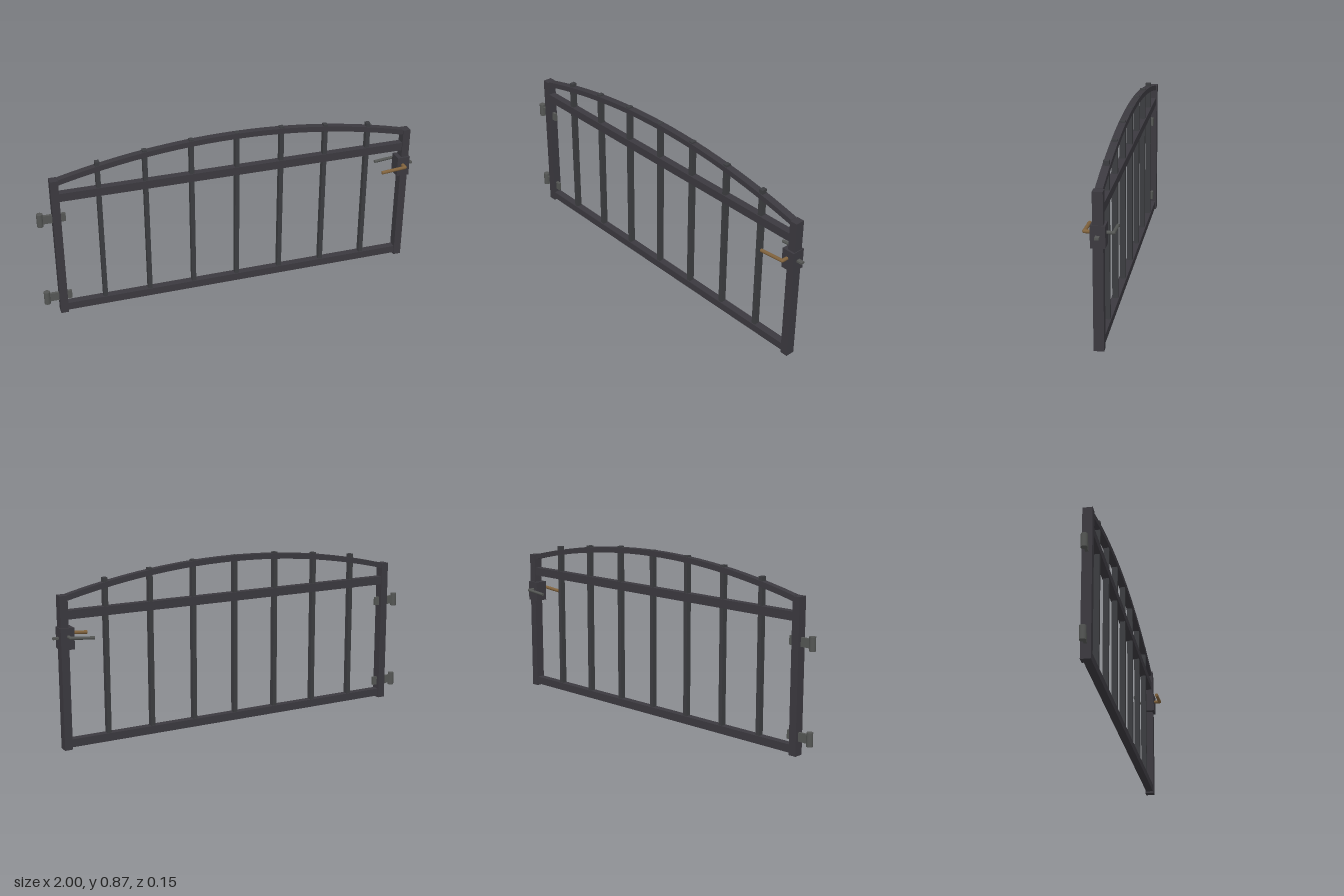
import * as THREE from 'three';

const mat = (name, color, extra = {}) => {
  const m = new THREE.MeshStandardMaterial({ color, ...extra });
  m.name = name;
  return m;
};

export function createModel() {
  const iron = mat('dark iron', 0x3b393f);
  const barIron = mat('bar iron', 0x3c3d40);
  const steel = mat('hinge steel', 0x545654);
  const bronze = mat('bronze', 0x80623c);

  const gate = new THREE.Group();
  gate.name = 'gate';
  const MID = 0.022; // centre of the gate leaf
  const HALF = 0.925; // post centre to gate centre

  const add = (name, geometry, material, x = 0, y = 0, z = 0, parent = gate) => {
    const mesh = new THREE.Mesh(geometry, material);
    mesh.name = name;
    mesh.position.set(x, y, z);
    parent.add(mesh);
    return mesh;
  };
  // Box given by its x and y limits and its depth, centred on z = 0
  const box = (name, x0, x1, y0, y1, depth, material, parent = gate) =>
    add(name, new THREE.BoxGeometry(x1 - x0, y1 - y0, depth), material,
      (x0 + x1) / 2, (y0 + y1) / 2, 0, parent);

  // Frame posts and rails
  for (const [name, s] of [['rightPost', -1], ['leftPost', 1]]) {
    const x = MID + s * HALF;
    box(name, x - 0.02, x + 0.02, 0, 0.757, 0.048, iron);
  }
  const inner = HALF - 0.02;
  box('bottomRail', MID - inner, MID + inner, 0.01, 0.05, 0.038, iron);
  box('upperRail', MID - inner, MID + inner, 0.641, 0.684, 0.038, iron);

  // Arched top rail
  const archY = (x) => 0.745 + 0.113 * (1 - (x / inner) ** 2);
  const upper = [], lower = [];
  for (let i = 0; i <= 24; i++) {
    const x = -inner + (2 * inner * i) / 24;
    upper.push(new THREE.Vector2(x, archY(x) + 0.014));
    lower.unshift(new THREE.Vector2(x, archY(x) - 0.014));
  }
  const arch = new THREE.ExtrudeGeometry(new THREE.Shape([...lower, ...upper]),
    { depth: 0.036, bevelEnabled: false });
  add('archRail', arch, iron, MID, 0, -0.018);

  // Vertical bars, their tips standing above the arch
  const tips = [0.874, 0.871, 0.85, 0.823];
  for (let i = -3; i <= 3; i++) {
    const x = MID + i * 0.236;
    box('bar', x - 0.011, x + 0.011, 0.03, tips[Math.abs(i)], 0.028, barIron);
  }

  // Hinges: a strap through the post and a round knuckle outside it
  for (const y of [0.093, 0.546]) {
    const hinge = new THREE.Group();
    hinge.name = 'hinge';
    gate.add(hinge);
    box('strap', -0.984, -0.857, y - 0.022, y + 0.022, 0.014, steel, hinge);
    add('knuckle', new THREE.CylinderGeometry(0.016, 0.016, 0.068, 16), steel, -0.984, y, 0, hinge);
  }

  // Lock case and latch bolt
  box('lockCase', 0.903, 0.971, 0.498, 0.603, 0.068, iron);
  box('latch', 0.96, 1.0, 0.548, 0.558, 0.02, steel);

  // Lever handles: spindle, rounded elbow, lever
  const rod = (name, a, b, r, material, parent) => {
    const dir = b.clone().sub(a);
    const mid = a.clone().add(b).multiplyScalar(0.5);
    const mesh = add(name, new THREE.CylinderGeometry(r, r, dir.length(), 12), material, mid.x, mid.y, mid.z, parent);
    mesh.quaternion.setFromUnitVectors(new THREE.Vector3(0, 1, 0), dir.normalize());
  };
  const handle = (name, side, endX, r, material) => {
    const group = new THREE.Group();
    group.name = name;
    gate.add(group);
    const elbow = new THREE.Vector3(0.933, 0.561, side * 0.065);
    rod('spindle', new THREE.Vector3(0.933, 0.561, side * 0.03), elbow, r, material, group);
    add('elbow', new THREE.SphereGeometry(r, 12, 8), material, elbow.x, elbow.y, elbow.z, group);
    rod('lever', elbow, new THREE.Vector3(endX, 0.55, side * 0.065), r, material, group);
  };
  handle('frontHandle', 1, 0.801, 0.009, bronze);
  handle('backHandle', -1, 0.815, 0.008, steel);

  return gate;
}
